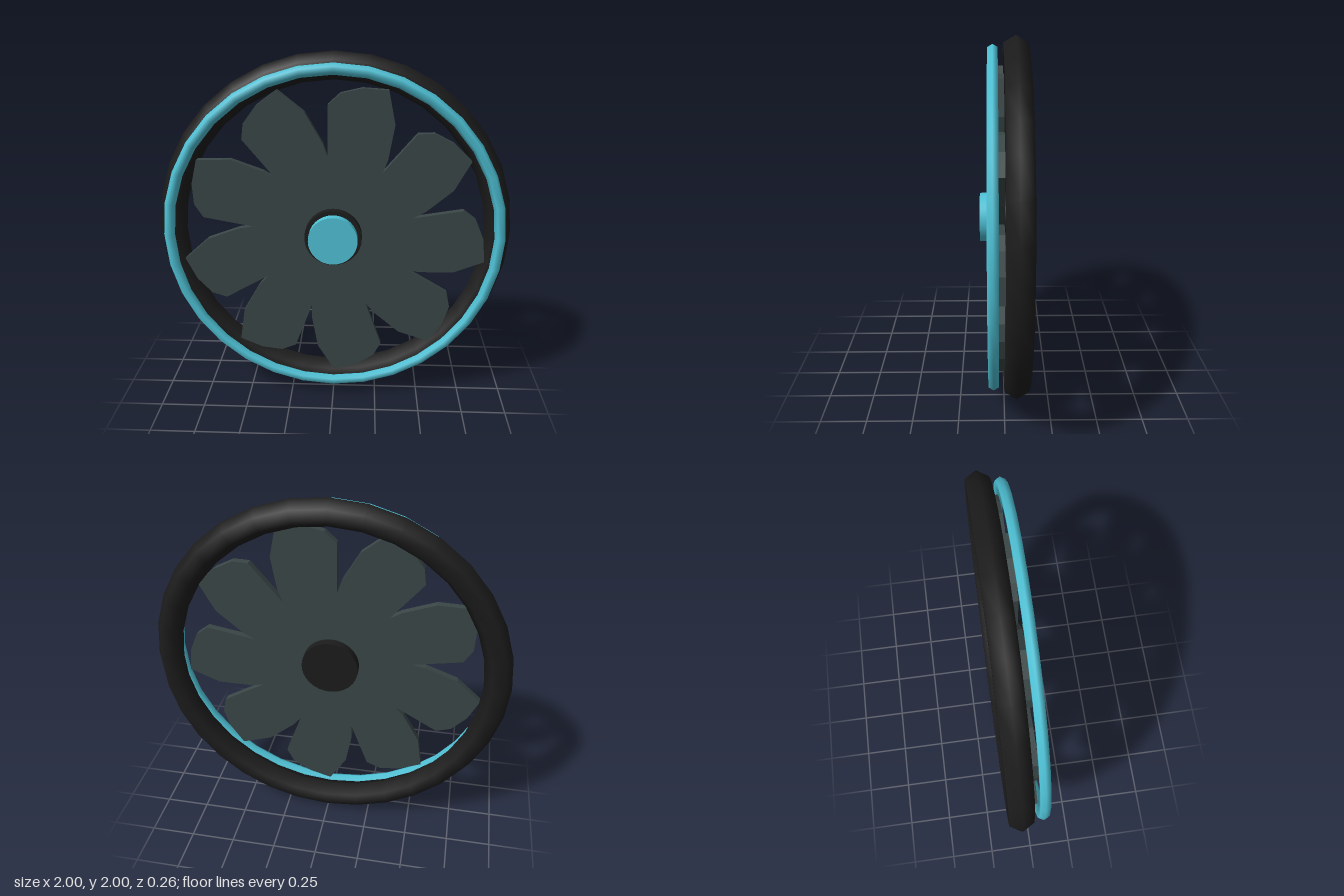
import * as THREE from 'three';

export function createModel() {
  const model = new THREE.Group();
  model.name = 'fanWheel';

  const mat = (name, color) => {
    const m = new THREE.MeshStandardMaterial({ color });
    m.name = name;
    return m;
  };
  const black = mat('black', 0x1c1c1c);
  const slate = mat('darkSlate', 0x3a4646);
  const cyan = mat('cyan', 0x4fc3d7);

  // Adds a part at the wheel's centre height, at depth z
  const add = (name, geometry, material, z) => {
    const mesh = new THREE.Mesh(geometry, material);
    mesh.name = name;
    mesh.position.set(0, 1, z);
    model.add(mesh);
  };
  // Disc along z, running from z0 to z1
  const disc = (name, radius, z0, z1, material) => {
    const g = new THREE.CylinderGeometry(radius, radius, z1 - z0, 32);
    g.rotateX(Math.PI / 2);
    add(name, g, material, (z0 + z1) / 2);
  };

  // Hexagonal-section rings
  add('outerRim', new THREE.TorusGeometry(0.925, 0.075, 6, 32), black, -0.065);
  add('trimRing', new THREE.TorusGeometry(0.923, 0.031, 6, 32), cyan, 0.058);

  // One blade outline as [radius, degrees], repeated nine times
  const blade = [
    [0.455, 94], [0.735, 92.3], [0.795, 87.4], [0.835, 79.5],
    [0.862, 70.3], [0.71, 62.5], [0.53, 56.2],
  ];
  const outline = [];
  for (let i = 0; i < 9; i++) {
    for (const [r, deg] of blade) {
      const a = THREE.MathUtils.degToRad(deg - i * 40);
      outline.push(new THREE.Vector2(r * Math.cos(a), r * Math.sin(a)));
    }
  }
  add('fanBlades', new THREE.ExtrudeGeometry(new THREE.Shape(outline), {
    depth: 0.04, bevelEnabled: false,
  }), slate, 0);

  // Hub and its front cap
  disc('hub', 0.16, -0.05, 0.085, black);
  disc('hubCap', 0.137, 0.08, 0.132, cyan);

  return model;
}
